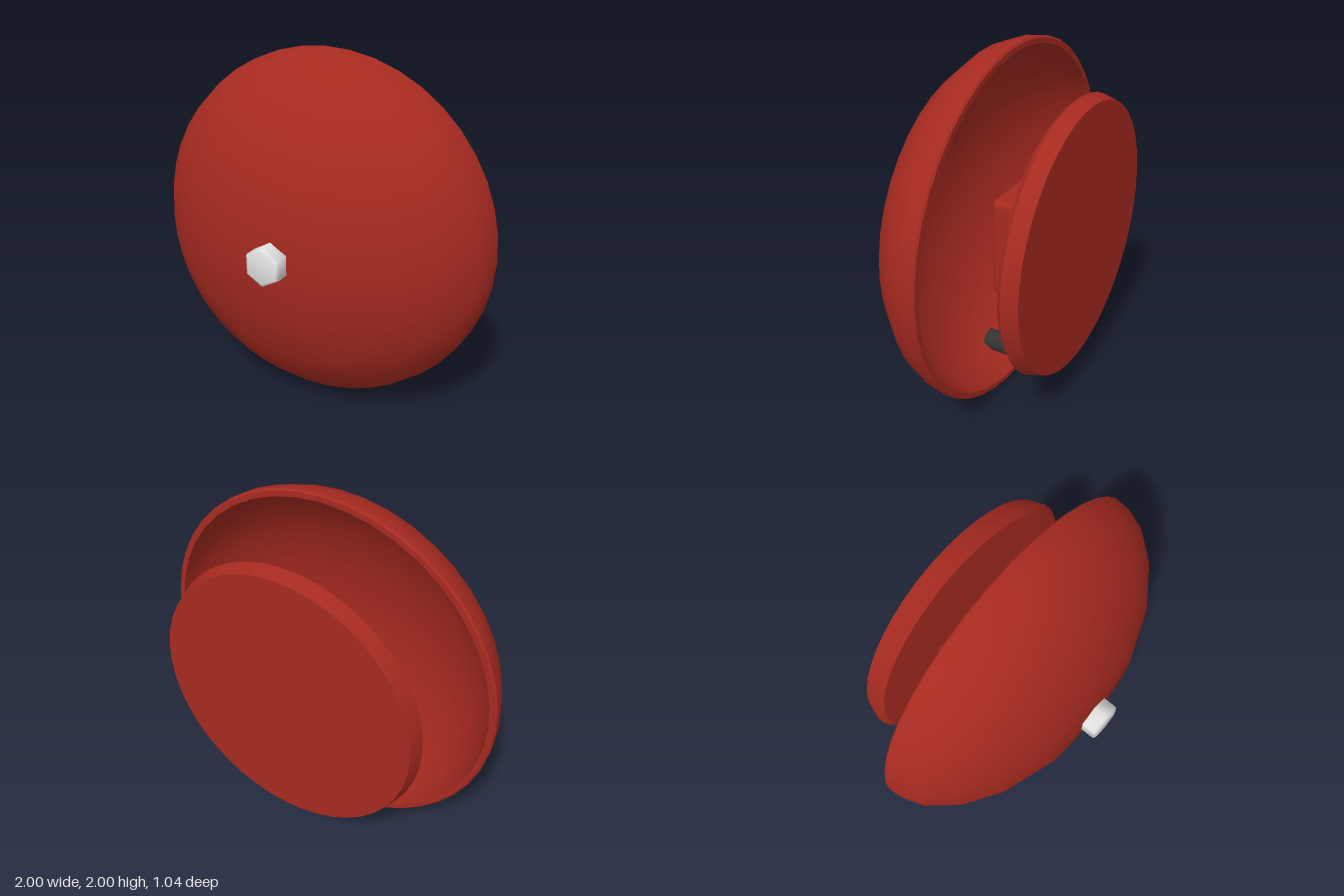
import * as THREE from 'three';
import { toCreasedNormals } from 'three/addons/utils/BufferGeometryUtils.js';
import { RoundedBoxGeometry } from 'three/addons/geometries/RoundedBoxGeometry.js';

const CENTRE_Y = 1.002;

function material(name, color) {
  const m = new THREE.MeshStandardMaterial({ color });
  m.name = name;
  return m;
}

// Revolve a profile of [radius, z] points around the z axis.
function revolve(profile, segments, crease) {
  const points = profile.map(([r, z]) => new THREE.Vector2(r, z));
  const geometry = new THREE.LatheGeometry(points, segments).rotateX(Math.PI / 2);
  return toCreasedNormals(geometry, crease);
}

export function createModel() {
  const bell = new THREE.Group();
  bell.name = 'alarmBell';
  const red = material('red paint', 0xa62a20);
  const steel = material('pale steel', 0xe2e2e2);
  const dark = material('dark metal', 0x333333);

  const add = (name, geometry, mat, y, z) => {
    const mesh = new THREE.Mesh(geometry, mat);
    mesh.name = name;
    mesh.position.set(0, y, z);
    bell.add(mesh);
  };

  // Hollow gong: inner shell, rim, outer shell
  add('gong', revolve([
    [0, 0.4], [0.359, 0.361], [0.627, 0.261], [0.806, 0.138], [0.911, 0.017], [0.95, -0.08], [0.962, -0.14],
    [0.99, -0.14], [1, -0.13], [0.995, -0.07], [0.955, 0.04], [0.84, 0.175], [0.65, 0.305], [0.37, 0.41], [0, 0.445],
  ], 44, 0.6), red, CENTRE_Y, 0);

  // Wall plate with a shallow conical front
  add('backPlate', revolve([
    [0, -0.52], [0.735, -0.52], [0.76, -0.44], [0.727, -0.405], [0, -0.365],
  ], 44, 0.4), red, CENTRE_Y, 0);

  // Motor housing between the plate and the gong
  add('housing', new RoundedBoxGeometry(0.65, 0.545, 0.24, 3, 0.03), red, CENTRE_Y, -0.255);

  // Hexagonal nut with softened edges
  add('nut', revolve([
    [0, 0.425], [0.108, 0.425], [0.108, 0.505], [0.104, 0.518], [0.09, 0.525], [0, 0.525],
  ], 6, 1.2), steel, CENTRE_Y, 0);

  // Striker arm and hammer, the hammer just touching through the gong
  add('strikerArm', new RoundedBoxGeometry(0.085, 0.62, 0.085, 2, 0.012), dark, 0.49, -0.108);
  add('hammer', new THREE.CylinderGeometry(0.062, 0.062, 0.172, 12).rotateX(Math.PI / 2), dark, 0.136, -0.01);

  return bell;
}
